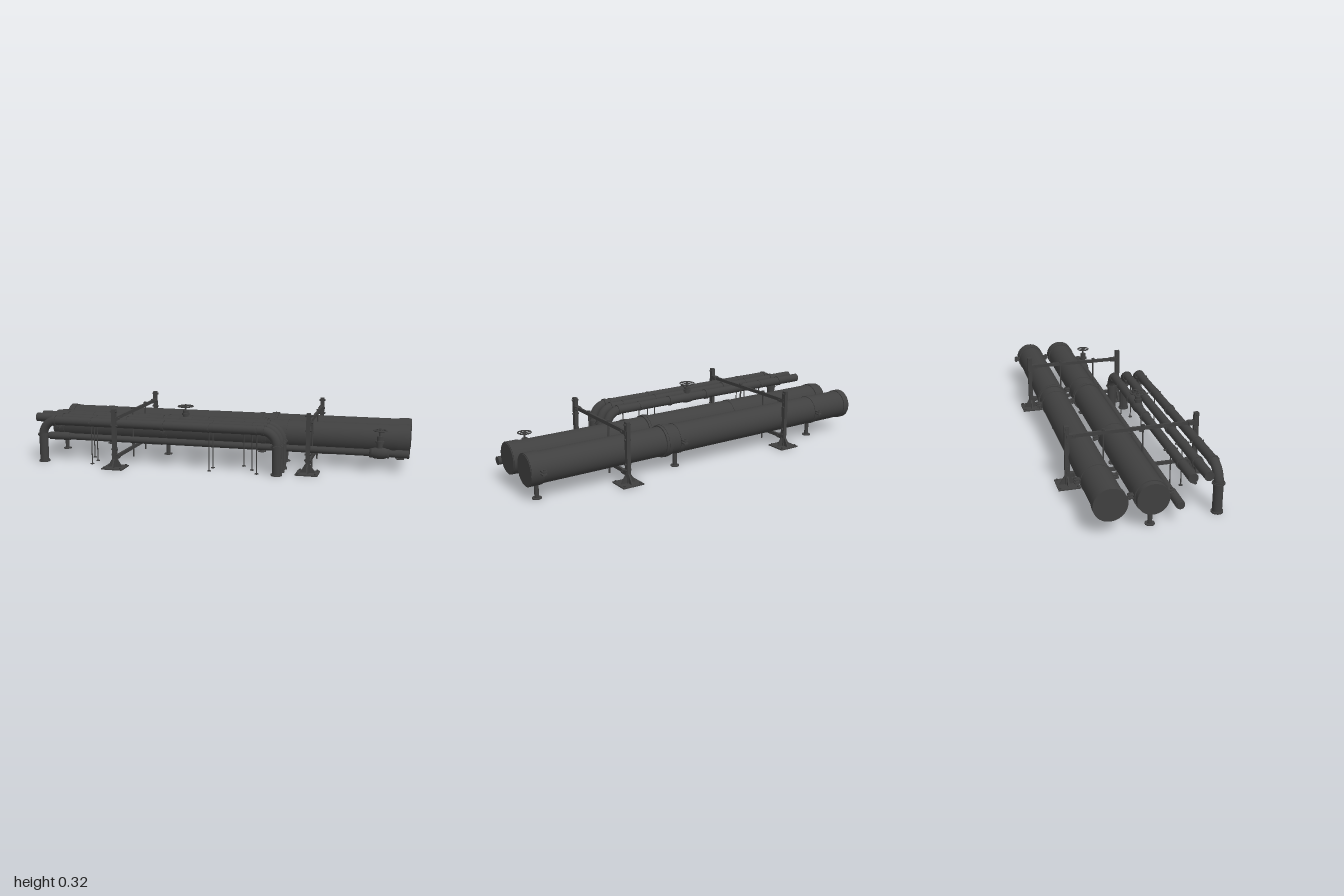
import * as THREE from 'three';

export function createModel() {
  const root = new THREE.Group();
  const mat = new THREE.MeshStandardMaterial({ color: 0x404040 });

  const add = (parent, name, geo, x = 0, y = 0, z = 0) => {
    const m = new THREE.Mesh(geo, mat);
    m.name = name;
    m.position.set(x, y, z);
    parent.add(m);
    return m;
  };
  const group = (name, x = 0, y = 0, z = 0) => {
    const g = new THREE.Group();
    g.name = name;
    g.position.set(x, y, z);
    root.add(g);
    return g;
  };
  const box = (p, n, w, h, d, x, y, z) => add(p, n, new THREE.BoxGeometry(w, h, d), x, y, z);
  // Cylinders between two coordinates along each axis
  const cylX = (p, n, r, x0, x1, y, z, seg = 32) =>
    add(p, n, new THREE.CylinderGeometry(r, r, x1 - x0, seg).rotateZ(Math.PI / 2), (x0 + x1) / 2, y, z);
  const cylY = (p, n, r, y0, y1, x, z, seg = 16) =>
    add(p, n, new THREE.CylinderGeometry(r, r, y1 - y0, seg), x, (y0 + y1) / 2, z);
  const cylZ = (p, n, r, z0, z1, x, y, seg = 16) =>
    add(p, n, new THREE.CylinderGeometry(r, r, z1 - z0, seg).rotateX(Math.PI / 2), x, y, (z0 + z1) / 2);

  // Saddle support: foot, leg, clamp ring and bolted ears on both sides
  function saddle(x, z) {
    const g = group('saddleSupport', x, 0, z);
    cylY(g, 'foot', 0.023, 0, 0.005, 0, 0, 24);
    cylY(g, 'leg', 0.011, 0.005, 0.08, 0, 0);
    cylX(g, 'clampRing', 0.0785, -0.012, 0.012, 0.15, 0, 48);
    for (const s of [-1, 1]) {
      for (const y of [0.147, 0.161]) box(g, 'clampEar', 0.024, 0.006, 0.03, 0, y, s * 0.09);
      cylY(g, 'clampBolt', 0.005, 0.137, 0.171, 0, s * 0.096, 6);
    }
  }

  // Two large mains with end bands and a joint flange
  function mainPipe(z, joint, leftBand, supports) {
    const g = group('mainPipe', 0, 0, z);
    cylX(g, 'pipe', 0.0755, -1, 1, 0.15, 0, 48);
    cylX(g, 'jointFlange', 0.082, joint - 0.018, joint + 0.018, 0.15, 0, 48);
    cylX(g, 'jointRim', 0.084, joint - 0.004, joint + 0.004, 0.15, 0, 48);
    cylX(g, 'leftBand', 0.08, leftBand, leftBand + 0.035, 0.15, 0, 48);
    cylX(g, 'rightBand', 0.08, 0.935, 0.997, 0.15, 0, 48);
    cylZ(g, 'sidePort', 0.014, 0.06, 0.079, 0.86, 0.15);
    supports.forEach(x => saddle(x, z));
  }
  mainPipe(-0.05, 0.225, -0.97, [-0.95, -0.33, 0.345]);
  mainPipe(-0.245, 0.25, -1, [-0.75, 0.17, 0.945]);

  // Valve: bulged body, bonnet, spindle and spoked handwheel
  function valve(x, y, z, bodyR, top, wheelR) {
    const g = group('valve', x, y, z);
    const prof = [[0, -0.05], [0.78, -0.05], [0.78, -0.035], [0.9, -0.025], [1, 0],
      [0.9, 0.025], [0.78, 0.035], [0.78, 0.05], [0, 0.05]];
    const pts = prof.map(([r, h]) => new THREE.Vector2(r * bodyR, h));
    add(g, 'valveBody', new THREE.LatheGeometry(pts, 24).rotateZ(Math.PI / 2));
    cylY(g, 'bonnet', bodyR * 0.5, 0, top * 0.75, 0, 0);
    cylY(g, 'bonnetFlange', bodyR * 0.72, top * 0.45, top * 0.45 + 0.01, 0, 0);
    cylY(g, 'spindle', 0.005, 0, top + 0.012, 0, 0, 10);
    cylY(g, 'wheelHub', 0.009, top - 0.01, top + 0.004, 0, 0, 12);
    add(g, 'handwheel', new THREE.TorusGeometry(wheelR - 0.003, 0.003, 8, 32).rotateX(Math.PI / 2), 0, top, 0);
    for (let i = 0; i < 3; i++) {
      const s = box(g, 'wheelSpoke', wheelR * 1.9, 0.003, 0.005, 0, top, 0);
      s.rotation.y = i * Math.PI / 3;
    }
  }

  // Low pipe beside the mains
  const low = group('lowPipe');
  cylX(low, 'pipe', 0.018, -1, 1, 0.1, 0.077, 24);
  cylX(low, 'leftSleeve', 0.022, -0.99, -0.87, 0.1, 0.077, 24);
  cylX(low, 'rightCoupling', 0.021, 0.93, 1, 0.1, 0.077, 24);
  valve(0.85, 0.1, 0.077, 0.031, 0.118, 0.036);
  valve(-0.17, 0.228, 0.13, 0.029, 0.082, 0.043);

  // Three raised pipes turning down to the floor
  const pipeR = 0.0235, pipeY = 0.228, bend = 0.07, endX = 0.353;
  function raisedPipe(z, startX, dropLeft, collars, stands) {
    const g = group('raisedPipe', 0, 0, z);
    const path = new THREE.CurvePath();
    const v = (x, y) => new THREE.Vector3(x, y, 0);
    const line = (a, b) => path.add(new THREE.LineCurve3(a, b));
    const arc = (a, c, b) => path.add(new THREE.QuadraticBezierCurve3(a, c, b));
    const drops = [endX];
    if (dropLeft) {
      drops.push(startX);
      line(v(startX, 0), v(startX, pipeY - bend));
      arc(v(startX, pipeY - bend), v(startX + 0.012, pipeY - 0.012), v(startX + bend, pipeY));
    } else cylX(g, 'endCap', pipeR, startX, startX + 0.01, pipeY, 0, 24);
    line(v(dropLeft ? startX + bend : startX, pipeY), v(endX - bend, pipeY));
    arc(v(endX - bend, pipeY), v(endX - 0.012, pipeY - 0.012), v(endX, pipeY - bend));
    line(v(endX, pipeY - bend), v(endX, 0));
    add(g, 'pipe', new THREE.TubeGeometry(path, 160, pipeR, 24, false));
    for (const x of drops) {
      cylY(g, 'floorFlange', 0.029, 0, 0.008, x, 0, 24);
      cylY(g, 'dropCollar', 0.027, 0.142, 0.157, x, 0, 24);
      cylY(g, 'dropRim', 0.031, 0.147, 0.152, x, 0, 24);
      const s = x > 0 ? -1 : 1;
      cylX(g, 'elbowCollar', 0.027, x + s * bend - 0.007, x + s * bend + 0.007, pipeY, 0, 24);
    }
    collars.forEach(x => cylX(g, 'collar', 0.028, x - 0.008, x + 0.008, pipeY, 0, 24));
    // Slim stands with a clip around the pipe
    for (const x of stands) {
      cylY(g, 'standRod', 0.003, 0, pipeY - pipeR, x, 0, 8);
      cylY(g, 'standFoot', 0.01, 0, 0.004, x, 0, 12);
      cylX(g, 'standClip', 0.0255, x - 0.004, x + 0.004, pipeY, 0, 24);
      box(g, 'clipEars', 0.008, 0.006, 0.07, x, pipeY, 0);
    }
  }
  raisedPipe(0.13, -1, false, [-0.85, -0.3, -0.05], [-0.7, 0.15]);
  raisedPipe(0.205, -1, false, [-0.85, -0.48], [-0.65, 0, 0.21]);
  raisedPipe(0.28, -0.93, true, [-0.25], [-0.65, 0, 0.25]);

  // Upright frames straddling the pipes
  const gussetShape = new THREE.Shape([[-0.04, 0], [0.04, 0], [0.013, 0.045], [-0.013, 0.045]]
    .map(([a, b]) => new THREE.Vector2(a, b)));
  function frame(x, zFront, zBack) {
    const g = group('pipeFrame', x);
    for (const z of [zFront, zBack]) {
      box(g, 'basePlate', 0.115, 0.006, 0.11, 0, 0.003, z);
      box(g, 'post', 0.02, 0.308, 0.024, 0, 0.159, z);
      const gus = new THREE.ExtrudeGeometry(gussetShape, { depth: 0.008, bevelEnabled: false });
      gus.translate(0, 0.006, -0.004);
      add(g, 'gussetAcross', gus, 0, 0, z);
      add(g, 'gussetAlong', gus.clone().rotateY(Math.PI / 2), 0, 0, z);
      for (const y of [0.07, 0.1, 0.225, 0.3]) cylX(g, 'postBolt', 0.006, -0.017, 0.017, y, z, 6);
      for (const sx of [-1, 1]) for (const sz of [-1, 1])
        cylY(g, 'anchorBolt', 0.005, 0.006, 0.013, sx * 0.045, z + sz * 0.043, 6);
    }
    for (const y of [0.055, 0.26]) {
      box(g, 'crossBeam', 0.012, 0.018, zFront - zBack, 0, y, (zFront + zBack) / 2);
      for (const [z, s] of [[zFront, -1], [zBack, 1]]) {
        box(g, 'beamBracket', 0.024, 0.021, 0.045, 0, y, z + s * 0.022);
        cylX(g, 'bracketBolt', 0.006, -0.018, 0.018, y, z + s * 0.034, 6);
      }
    }
    // Threaded rods between the pipes
    for (const z of [0.055, -0.145]) {
      cylY(g, 'threadedRod', 0.0045, 0, 0.278, 0, z, 10);
      for (const y of [0.073, 0.273]) cylY(g, 'rodNut', 0.009, y - 0.004, y + 0.004, 0, z, 6);
    }
  }
  frame(-0.5, 0.33, -0.327);
  frame(0.5, 0.205, -0.327);

  return root;
}
